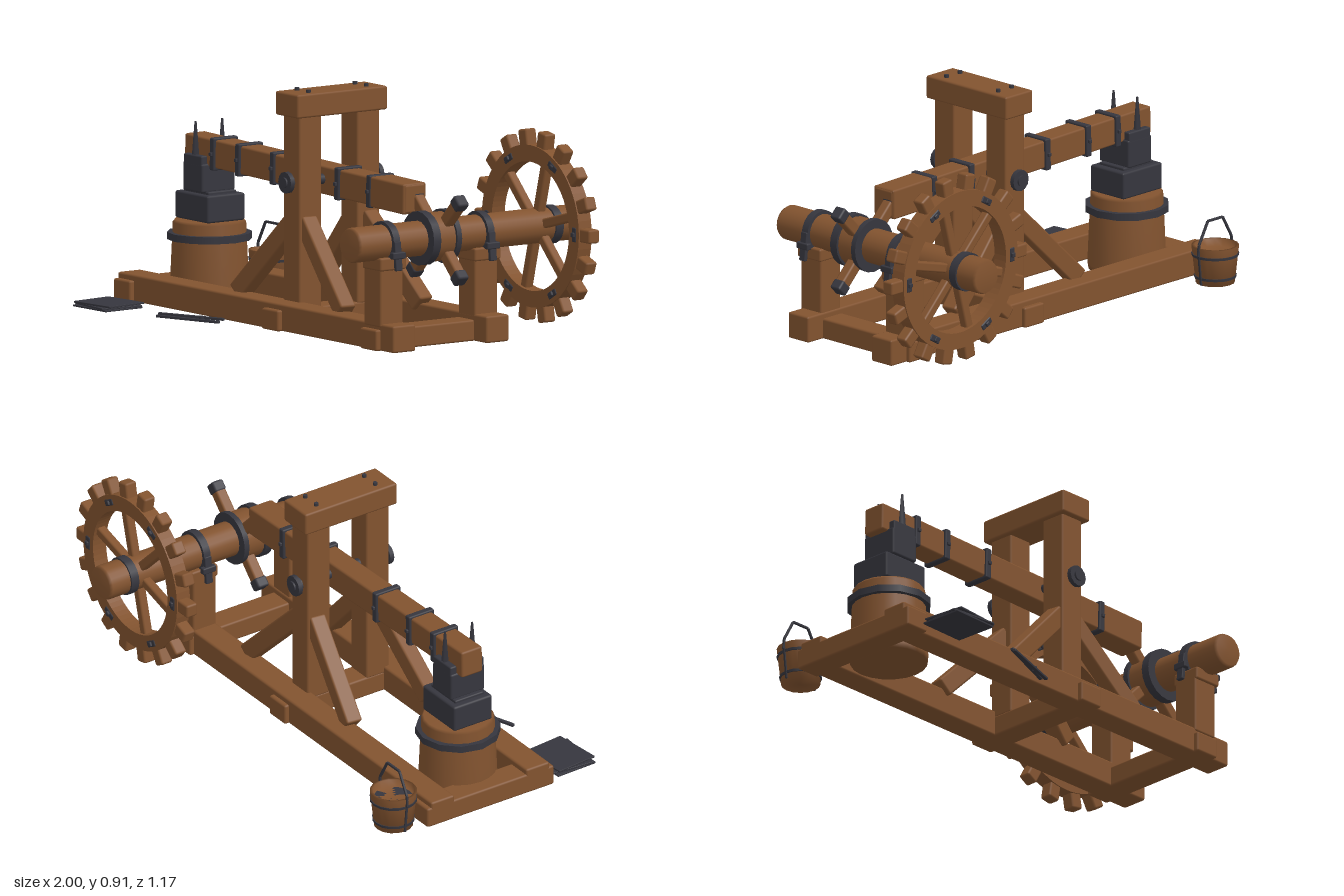
import * as THREE from 'three';
import { RoundedBoxGeometry } from 'three/addons/geometries/RoundedBoxGeometry.js';

export function createModel() {
  const model = new THREE.Group();
  const wood = new THREE.MeshStandardMaterial({ color: 0x82532f });
  const iron = new THREE.MeshStandardMaterial({ color: 0x36363e });
  wood.name = 'oak wood';
  iron.name = 'dark iron';

  const add = (name, geo, mat, x, y, z, parent = model) => {
    const m = new THREE.Mesh(geo, mat);
    m.name = name;
    m.position.set(x, y, z);
    parent.add(m);
    return m;
  };
  // Bevelled block given by its centre and size
  const block = (name, mat, x, y, z, w, h, d, parent = model) =>
    add(name, new RoundedBoxGeometry(w, h, d, 1, Math.min(0.008, Math.min(w, h, d) * 0.2)), mat, x, y, z, parent);
  const group = (name, x, y, z) => {
    const g = new THREE.Group();
    g.name = name;
    g.position.set(x, y, z);
    model.add(g);
    return g;
  };
  // Cylinder lying along z
  const disc = (name, mat, x, y, z, r, len, parent = model, sides = 20) => {
    const geo = new THREE.CylinderGeometry(r, r, len, sides).rotateX(Math.PI / 2);
    return add(name, geo, mat, x, y, z, parent);
  };
  // Bar between two points
  const bar = (name, mat, a, b, w, d, parent = model) => {
    const p = new THREE.Vector3(...a), q = new THREE.Vector3(...b);
    const m = block(name, mat, 0, 0, 0, w, d, p.distanceTo(q), parent);
    m.position.copy(p).add(q).multiplyScalar(0.5);
    m.quaternion.setFromRotationMatrix(new THREE.Matrix4().lookAt(q, p, new THREE.Vector3(0, 1, 0)));
    return m;
  };

  // Ground frame: two sills and three cross beams
  for (const z of [0.28, -0.155]) block('sill', wood, -0.125, 0.057, z, 1.75, 0.102, 0.106);
  for (const x of [-0.947, -0.008, 0.617]) block('crossBeam', wood, x, 0.046, 0.064, 0.105, 0.08, 0.58);

  // Upright frame with cap and pegs
  for (const s of [1, -1]) {
    const z = 0.065 + s * 0.135;
    block('post', wood, -0.008, 0.45, z, 0.105, 0.74, 0.104);
    for (const k of [1, -1]) {
      bar('brace', wood, [-0.008 + k * 0.335, 0.105, 0.065 + s * 0.18], [-0.008 + k * 0.03, 0.41, z + s * 0.005], 0.065, 0.072);
      add('peg', new THREE.CylinderGeometry(0.009, 0.009, 0.03, 8), iron, -0.006 + k * 0.036, 0.896, z);
    }
  }
  block('cap', wood, -0.008, 0.855, 0.065, 0.145, 0.09, 0.42);

  // Pivot pin with washers
  disc('pivotPin', iron, -0.008, 0.56, 0.065, 0.02, 0.45);
  for (const s of [1, -1]) {
    disc('pivotWasher', iron, -0.008, 0.56, 0.065 + s * 0.209, 0.041, 0.018, model, 12);
    disc('pivotNut', iron, -0.008, 0.56, 0.065 + s * 0.194, 0.026, 0.02, model, 8);
  }

  // Tilting helve with straps
  const helve = group('helve', -0.008, 0.555, 0.06);
  helve.rotation.z = -0.0235;
  block('helveBeam', wood, -0.175, 0, 0, 1.4, 0.108, 0.095, helve);
  block('helveTail', wood, 0.41, 0, 0, 0.225, 0.116, 0.106, helve);
  for (const x of [-0.69, -0.53, -0.31, 0.1, 0.302]) {
    block('strap', iron, x, 0, 0, 0.027, 0.124, 0.115, helve);
    for (const s of [1, -1]) block('strapBolt', iron, x, 0, s * 0.06, 0.014, 0.014, 0.012, helve);
  }

  // Hammer head straddling the helve, with two wedges
  block('hammerHead', iron, -0.792, 0.475, 0.06, 0.125, 0.11, 0.155);
  for (const s of [1, -1]) {
    block('hammerCheek', iron, -0.792, 0.535, 0.06 + s * 0.062, 0.115, 0.05, 0.03);
    const wedge = add('wedge', new THREE.CylinderGeometry(0.004, 0.014, 0.13, 4), iron, -0.792, 0.622, 0.06 + s * 0.062);
    wedge.rotation.y = Math.PI / 4;
  }

  // Anvil on its banded stump
  const stump = [[0, 0.008], [0.146, 0.008], [0.15, 0.03], [0.138, 0.3], [0.13, 0.31], [0, 0.31]]
    .map(p => new THREE.Vector2(...p));
  add('stump', new THREE.LatheGeometry(stump, 20), wood, -0.795, 0, 0.055);
  add('stumpBand', new THREE.CylinderGeometry(0.161, 0.161, 0.027, 12), iron, -0.795, 0.248, 0.055);
  block('anvil', iron, -0.792, 0.362, 0.055, 0.21, 0.104, 0.175);
  block('anvilFace', iron, -0.792, 0.412, 0.055, 0.16, 0.025, 0.13);

  // Wheel shaft and its bearings
  const AX = 0.63, AY = 0.412;
  const shaft = [[0, -0.52], [0.06, -0.52], [0.067, -0.508], [0.067, 0.508], [0.06, 0.52], [0, 0.52]]
    .map(p => new THREE.Vector2(...p));
  add('shaft', new THREE.LatheGeometry(shaft, 20).rotateX(Math.PI / 2), wood, AX, AY, -0.07);
  disc('shaftEndBand', iron, AX, AY, -0.48, 0.074, 0.034);
  for (const z of [0.285, -0.155]) {
    block('bearingPost', wood, 0.622, 0.225, z, 0.108, 0.26, 0.106);
    block('bearingSaddle', wood, 0.628, 0.335, z, 0.12, 0.05, 0.122);
    disc('bearingStrap', iron, AX, AY, z, 0.08, 0.03);
    for (const s of [1, -1]) {
      bar('bearingLeg', iron, [AX + s * 0.076, AY + 0.01, z], [AX + s * 0.088, 0.312, z], 0.03, 0.016);
      block('bearingBolt', iron, AX + s * 0.084, 0.37, z, 0.024, 0.026, 0.06);
    }
  }

  // Cam drum: four iron-tipped cams on the diagonals
  disc('camDrum', wood, AX, AY, 0.065, 0.094, 0.125);
  for (const z of [0.113, 0.01]) disc('drumBand', iron, AX, AY, z, 0.103, z > 0.1 ? 0.034 : 0.022);
  const cams = group('cams', AX, AY, 0.04);
  for (let i = 0; i < 4; i++) {
    const arm = new THREE.Group();
    arm.name = 'cam';
    arm.rotation.z = Math.PI / 4 + i * Math.PI / 2;
    cams.add(arm);
    block('camArm', wood, 0.115, 0, 0, 0.17, 0.046, 0.044, arm);
    block('camTip', iron, 0.2, 0, 0, 0.042, 0.052, 0.05, arm);
  }

  // Toothed wheel
  const wheel = group('toothedWheel', AX, AY, -0.424);
  const ring = new THREE.Shape().absarc(0, 0, 0.308, 0, Math.PI * 2, false);
  ring.holes.push(new THREE.Path().absarc(0, 0, 0.245, 0, Math.PI * 2, true));
  const rim = new THREE.ExtrudeGeometry(ring, { depth: 0.06, bevelEnabled: false, curveSegments: 36 });
  add('rim', rim, wood, 0, 0, -0.03, wheel);
  const radial = (name, mat, angle, r, w, h, d) => {
    const m = block(name, mat, r * Math.cos(angle), r * Math.sin(angle), 0, w, h, d, wheel);
    m.rotation.z = angle;
  };
  for (let i = 0; i < 18; i++) radial('tooth', wood, i * Math.PI / 9, 0.33, 0.072, 0.052, 0.05);
  for (let i = 0; i < 6; i++) {
    const a = i * Math.PI / 3;
    radial('spoke', wood, a + Math.PI / 12, 0.155, 0.2, 0.036, 0.036);
    radial('rimPlate', iron, a, 0.278, 0.026, 0.056, 0.068);
    radial('rimBolt', iron, a, 0.278, 0.018, 0.018, 0.084);
  }

  // Bucket with hoops and bail handle
  const bucket = group('bucket', -0.895, 0, -0.31);
  const pail = [[0, 0.004], [0.074, 0.004], [0.09, 0.15], [0.079, 0.15], [0.076, 0.12], [0, 0.12]]
    .map(p => new THREE.Vector2(...p));
  add('pail', new THREE.LatheGeometry(pail, 16), wood, 0, 0, 0, bucket);
  for (const [y, r] of [[0.03, 0.08], [0.115, 0.0895]])
    add('hoop', new THREE.CylinderGeometry(r + 0.001, r, 0.01, 16), iron, 0, y, 0, bucket);
  const bail = [[-0.092, 0.12], [-0.088, 0.165], [-0.04, 0.25], [0.04, 0.25], [0.088, 0.165], [0.092, 0.12]];
  for (let i = 0; i < bail.length - 1; i++)
    bar('bail', iron, [...bail[i], 0], [...bail[i + 1], 0], 0.009, 0.009, bucket);
  for (const s of [1, -1]) bar('bucketStrip', iron, [s * 0.076, 0.005, 0], [s * 0.092, 0.148, 0], 0.009, 0.006, bucket);

  // Stacked iron sheets and tongs lying beside the frame
  [0.03, -0.09, 0.1].forEach((turn, i) => {
    block('ironSheet', iron, -0.86 + i * 0.004, 0.006 + i * 0.008, 0.482, 0.2, 0.007, 0.175).rotation.y = turn;
  });
  bar('tongs', iron, [-0.555, 0.006, 0.478], [-0.285, 0.006, 0.385], 0.014, 0.01);
  bar('tongs', iron, [-0.555, 0.014, 0.468], [-0.288, 0.014, 0.36], 0.014, 0.01);
  disc('tongsRivet', iron, -0.37, 0.011, 0.405, 0.01, 0.02, model, 8).rotation.x = Math.PI / 2;

  return model;
}
